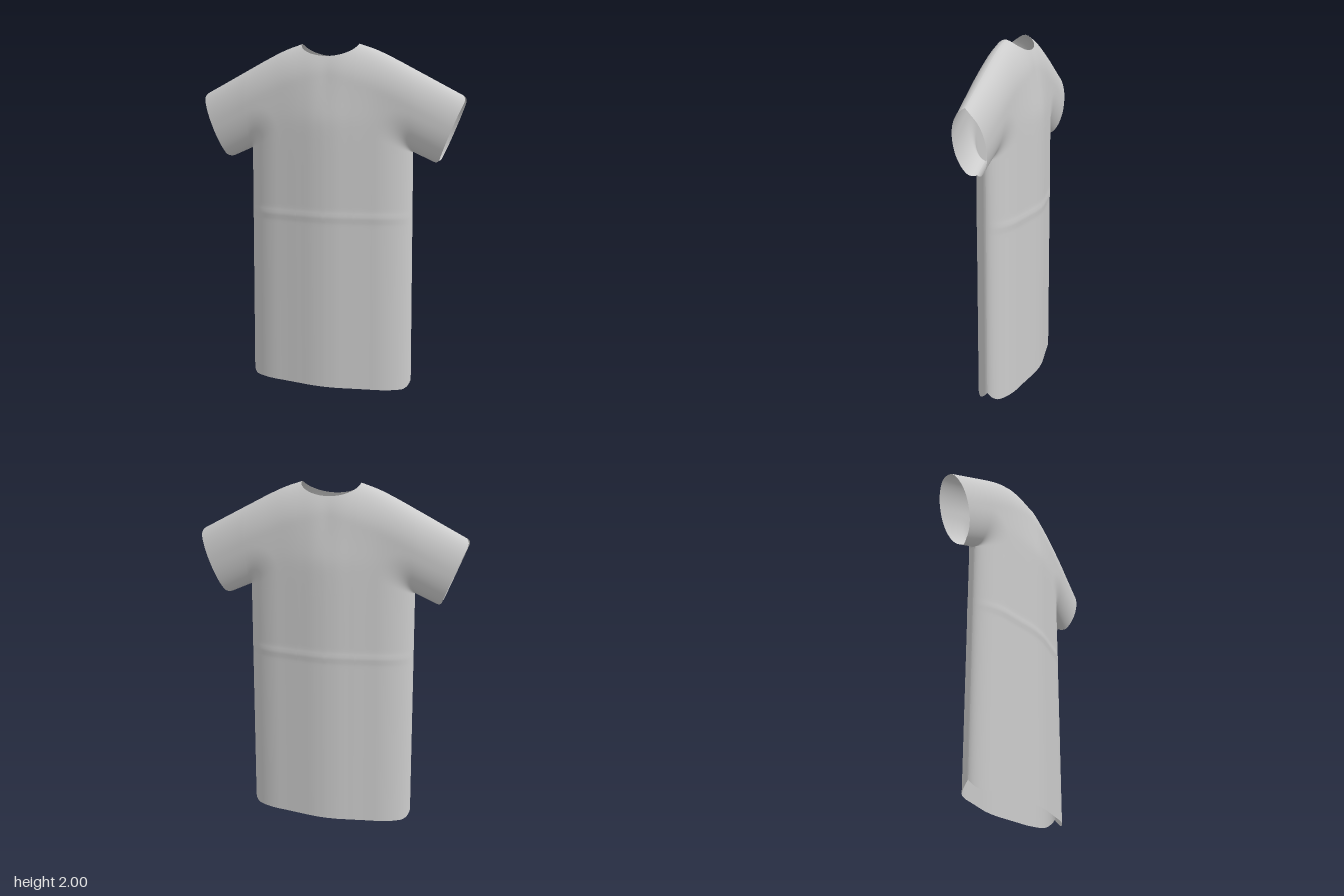
import * as THREE from 'three';
import { mergeVertices } from 'three/addons/utils/BufferGeometryUtils.js';

// Smooth curve through [x, y] points
function smoothCurve(pts) {
  const slope = (i) => {
    const a = pts[Math.max(i - 1, 0)], b = pts[Math.min(i + 1, pts.length - 1)];
    return (b[1] - a[1]) / (b[0] - a[0]);
  };
  return (x) => {
    let i = 0;
    while (i < pts.length - 2 && x > pts[i + 1][0]) i++;
    const [x0, y0] = pts[i], [x1, y1] = pts[i + 1], h = x1 - x0;
    const t = (x - x0) / h, t2 = t * t, t3 = t2 * t;
    return (2 * t3 - 3 * t2 + 1) * y0 + (t3 - 2 * t2 + t) * h * slope(i)
      + (3 * t2 - 2 * t3) * y1 + (t3 - t2) * h * slope(i + 1);
  };
}

const ARMPIT = { x: 0.485, y: 1.4 };
const CUFF_LOW = { x: 0.632, y: 1.335 };
const CUFF_TOP_X = 0.783;
const NECK_X = 0.17;
const lerp = THREE.MathUtils.lerp;
const ease = (t) => (1 - Math.cos(Math.PI * t)) / 2;

// Outline of the garment
const shoulderY = smoothCurve([[0, 2.045], [0.1, 2.022], [NECK_X, 2], [0.27, 1.966], [0.37, 1.92], [0.485, 1.861], [0.79, 1.703]]);
const sideX = (y) => ARMPIT.x + 0.01 * Math.max(0, 1 - y / ARMPIT.y);
const underarmY = (x) => ARMPIT.y + (x - ARMPIT.x) * (CUFF_LOW.y - ARMPIT.y) / (CUFF_LOW.x - ARMPIT.x);
const topY = (x) => x < NECK_X
  ? 2 - 0.068 * Math.pow(Math.max(0, 1 - (x / NECK_X) ** 2), 0.6)
  : shoulderY(x);

// Cloth half-thickness: a fullness curve, rounded off towards the seams
const fullness = smoothCurve([[0, 0.156], [0.07, 0.152], [0.15, 0.14], [0.3, 0.117], [0.45, 0.104], [0.7, 0.089], [0.8, 0.085]]);
const roundOff = (d, w) => Math.pow(1 - (1 - THREE.MathUtils.clamp(d / w, 0, 1)) ** 2, 0.55);
function depth(x, y) {
  const side = Math.max(0, sideX(y) - x);
  const under = Math.max(0, (y - underarmY(x)) * 0.91);
  const seam = roundOff(Math.hypot(side, under), 0.2) * roundOff((shoulderY(x) - y) * 0.9, 0.19);
  const h = y - 1.58;
  const taper = 1 - 0.5 * (h + Math.sqrt(h * h + 0.003)) * Math.max(0, 1 - x / 0.5);
  const fold = 0.004 * Math.exp(-(((y - 1.025) / 0.02) ** 2));
  return (fullness(x) * taper + fold) * seam;
}

// Adds a grid of points fn(u, v) -> [x, y], with its mirror image in x
function addPatch(out, nu, nv, fn) {
  for (const sx of [1, -1]) {
    const base = out.pos.length / 3;
    for (let i = 0; i <= nu; i++) {
      for (let j = 0; j <= nv; j++) {
        const [x, y] = fn(i / nu, j / nv);
        out.pos.push(sx * x, y, depth(x, y));
      }
    }
    for (let i = 0; i < nu; i++) {
      for (let j = 0; j < nv; j++) {
        const a = base + i * (nv + 1) + j, b = a + nv + 1;
        if (sx > 0) out.idx.push(a, b, b + 1, a, b + 1, a + 1);
        else out.idx.push(a, b + 1, b, a, a + 1, b + 1);
      }
    }
  }
}

function panelGeometry() {
  const out = { pos: [], idx: [] };

  // Lower and upper body, in a neck strip and a shoulder strip
  const strips = [
    [14, (u) => NECK_X * Math.sin(u * Math.PI / 2)],
    [28, (u) => lerp(NECK_X, ARMPIT.x, Math.sin(u * Math.PI / 2))],
  ];
  for (const [n, column] of strips) {
    addPatch(out, n, 90, (u, v) => {
      const x = column(u);
      const c = THREE.MathUtils.clamp((x - 0.44) / (ARMPIT.x - 0.44), 0, 1);
      const hem = 0.05 * (1 - Math.sqrt(1 - c * c));
      const y = lerp(hem, ARMPIT.y, Math.pow(v, 1.15));
      return [x * sideX(y) / ARMPIT.x, y];
    });
    addPatch(out, n, 40, (u, v) => {
      const x = column(u);
      return [x, lerp(ARMPIT.y, topY(x), ease(v))];
    });
  }

  // Sleeve, with the cuff corners rounded
  addPatch(out, 24, 40, (u, v) => {
    const t = ease(v);
    const c = Math.max(0, 1 - Math.min(t, 1 - t) / 0.08);
    const s = u * (1 - lerp(0.2, 0.08, t) * (1 - Math.sqrt(1 - c * c)));
    const lowX = lerp(ARMPIT.x, CUFF_LOW.x, s);
    const highX = lerp(ARMPIT.x, CUFF_TOP_X, s);
    return [lerp(lowX, highX, t), lerp(underarmY(lowX), shoulderY(highX), t)];
  });

  let geo = new THREE.BufferGeometry();
  geo.setAttribute('position', new THREE.Float32BufferAttribute(out.pos, 3));
  geo.setIndex(out.idx);
  geo = mergeVertices(geo, 1e-5);
  geo.computeVertexNormals();
  return geo;
}

export function createModel() {
  const group = new THREE.Group();
  group.name = 'shirt';
  const cloth = new THREE.MeshStandardMaterial({ color: 0xcccccc, side: THREE.DoubleSide });
  cloth.name = 'light grey cloth';

  // Front and back panels meet at the shoulder, side and underarm seams
  const geo = panelGeometry();
  for (const [name, turn] of [['frontPanel', 0], ['backPanel', Math.PI]]) {
    const panel = new THREE.Mesh(geo, cloth);
    panel.name = name;
    panel.rotation.y = turn;
    group.add(panel);
  }
  return group;
}
